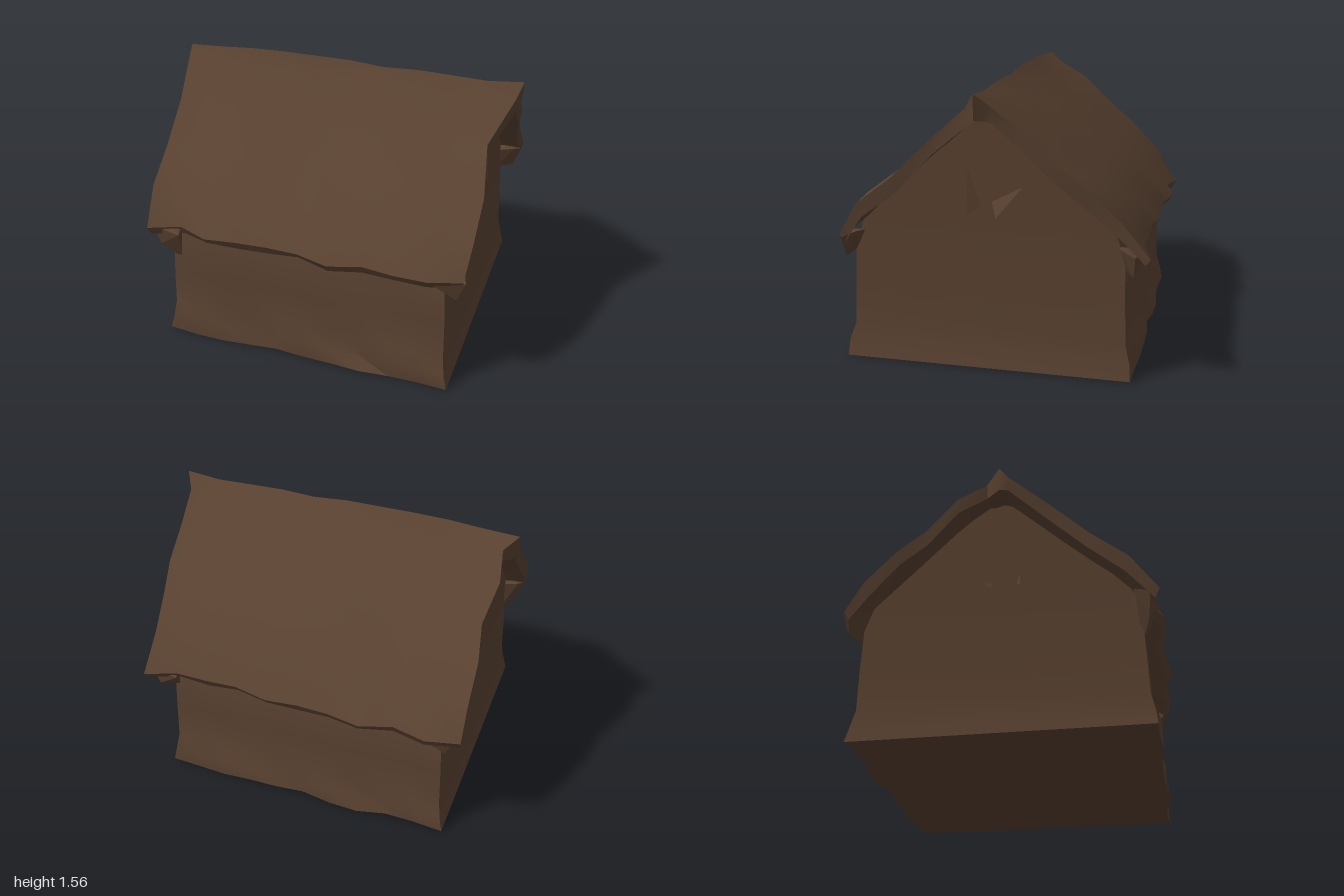
import * as THREE from 'three';
import { toCreasedNormals } from 'three/addons/utils/BufferGeometryUtils.js';
import { ConvexGeometry } from 'three/addons/geometries/ConvexGeometry.js';

// Repeatable noise in -1..1
const noise = (a, b) => {
  const s = Math.sin(a * 127.1 + b * 311.7 + 4.2) * 43758.5453;
  return (s - Math.floor(s)) * 2 - 1;
};

// Skins closed cross-sections that follow each other along +x and closes both ends
function loft(rings, crease) {
  const n = rings[0].length, last = rings.length - 1, index = [];
  const quad = (a, b, c, d) => index.push(a, b, c, a, c, d);
  for (let i = 0; i < last; i++) {
    for (let j = 0; j < n; j++) {
      const k = (j + 1) % n;
      quad(i * n + j, i * n + k, (i + 1) * n + k, (i + 1) * n + j);
    }
  }
  for (let j = 0; j < n / 2 - 1; j++) {
    const e = last * n;
    quad(e + j, e + j + 1, e + n - 2 - j, e + n - 1 - j);
    quad(n - 1 - j, n - 2 - j, j + 1, j);
  }
  const g = new THREE.BufferGeometry();
  g.setAttribute('position', new THREE.Float32BufferAttribute(rings.flat(2), 3));
  g.setIndex(index);
  return toCreasedNormals(g, crease);
}

// Roof slope from back eave over the ridge to front eave: z, y, left end x, right end x
const roofProfile = [
  [-0.84, 0.74, -0.94, 0.90], [-0.72, 0.91, -0.94, 0.89], [-0.55, 1.07, -0.94, 0.91],
  [-0.40, 1.20, -0.91, 0.94], [-0.22, 1.36, -0.95, 0.94], [-0.06, 1.48, -0.92, 0.95],
  [0.02, 1.545, -0.99, 1.0], [0.07, 1.47, -0.99, 0.97], [0.29, 1.29, -0.95, 0.87],
  [0.50, 1.09, -0.95, 0.91], [0.70, 0.94, -0.95, 0.91], [0.85, 0.75, -0.93, 0.89],
];
// Ragged offsets along the two eaves and the ridge
const backEave = [0.02, -0.03, 0.01, -0.04, 0, 0, -0.01, 0.01, 0.01, 0.01, -0.04];
const frontEave = [0, -0.06, 0.02, 0.01, 0, 0.01, 0.04, 0, 0.02, 0.01, -0.04];
const ridge = [-0.02, -0.01, 0.005, 0.01, 0.01, 0.01, -0.005, 0.005, 0, -0.005, 0.015];

function roofGeometry() {
  const cols = backEave.length, m = roofProfile.length;
  const rings = backEave.map((_, i) => {
    const u = i / (cols - 1);
    const top = roofProfile.map(([z, y, xl, xr], j) => {
      let dz = 0, dy = noise(i, j) * 0.014;
      if (j === 0) dz = backEave[i];
      if (j === m - 1) dz = frontEave[i];
      if (j === 6) dy = ridge[i];
      return [xl + (xr - xl) * u, y + dy, z + dz];
    });
    const under = top.map(([x, y, z], j) => {
      const drop = j === 6 ? 0.13 : j === 0 || j === m - 1 ? 0.045 : 0.085;
      return [x * 0.99, y - drop + noise(j, i + 20) * 0.01, z * 0.97];
    });
    return [...top, ...under.reverse()];
  });
  return loft(rings, 0.75);
}

// Half of the gabled wall outline: z, y, and end x; widens at the foot
const wallProfile = [
  [0.81, 0.015, 0.85], [0.79, 0.10, 0.83], [0.765, 0.20, 0.815], [0.755, 0.42, 0.81],
  [0.745, 0.66, 0.80], [0.70, 0.80, 0.80], [0.48, 1.02, 0.80], [0.25, 1.24, 0.80], [0.03, 1.43, 0.80],
];

function wallGeometry() {
  const cols = 10, rings = [];
  for (let i = 0; i <= cols; i++) {
    const u = (i / cols) * 2 - 1;
    const side = (s) => wallProfile.map(([z, y, x], j) => {
      const rough = j < 2 ? 0.018 : 0.007;
      return [
        u * x - 0.018,
        Math.max(0, y + noise(i + s * 9, j) * (j === 0 ? 0.012 : 0.006)),
        s * z + 0.01 + noise(i, j + s * 31) * rough,
      ];
    });
    rings.push([...side(-1), ...side(1).reverse()]);
  }
  return loft(rings, 0.6);
}

// Torn flap that hangs from a roof corner to the wall
const cornerFlap = (sx, sz, low) => new ConvexGeometry([
  [0.93, 0.73, 0.80], [0.88, 0.61, 0.79], [0.78, low, 0.745],
  [0.74, 0.72, 0.84], [0.78, 0.74, 0.70], [0.90, 0.76, 0.72],
].map(([x, y, z]) => new THREE.Vector3(sx * x, y, sz * z)));

// Thin splinter standing off the gable
function splinter(points, sx) {
  const g = new THREE.BufferGeometry();
  g.setAttribute('position', new THREE.Float32BufferAttribute(
    points.flatMap(([x, y, z]) => [sx * x, y, z]), 3));
  g.computeVertexNormals();
  return g;
}

export function createModel() {
  const model = new THREE.Group();
  const wood = new THREE.MeshStandardMaterial({ color: 0x5a4231 });
  wood.name = 'dark brown wood';
  wood.side = THREE.DoubleSide;
  const add = (name, geometry) => {
    const mesh = new THREE.Mesh(geometry, wood);
    mesh.name = name;
    model.add(mesh);
  };

  add('walls', wallGeometry());
  add('roof', roofGeometry());

  // Corner flaps under the eaves
  add('frontLeftFlap', cornerFlap(0.97, 1, 0.64));
  add('frontRightFlap', cornerFlap(-1, 1, 0.5));
  add('backLeftFlap', cornerFlap(0.97, -1, 0.6));
  add('backRightFlap', cornerFlap(-0.97, -1, 0.62));

  // Splinters on both gables
  for (const sx of [1, -1]) {
    add('gableSplinter', splinter([[0.79, 1.12, 0.11], [0.83, 0.88, 0.11], [0.79, 0.92, 0.04]], sx));
    add('gableSplinter', splinter([[0.79, 1.04, -0.19], [0.83, 0.87, -0.05], [0.79, 0.95, -0.02]], sx));
  }
  return model;
}
